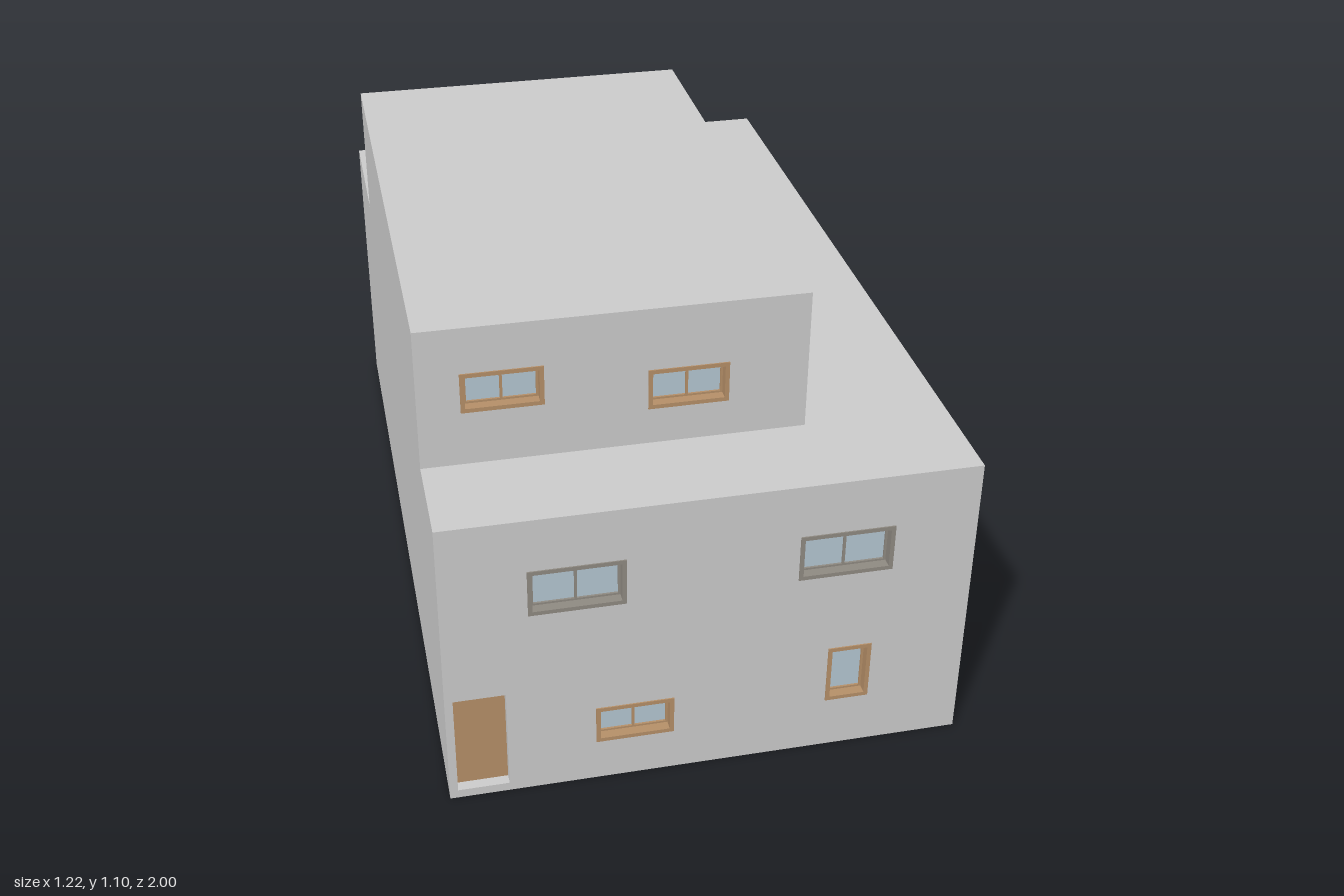
import * as THREE from 'three';

const mat = (color) => new THREE.MeshStandardMaterial({ color });
const wallMat = mat(0xcccccc);
const slabMat = mat(0xc4c4c4);
const woodMat = mat(0xb58f68);
const metalMat = mat(0x8f8a82);
const glassMat = mat(0xb4c6d2);
const T = 0.04; // wall thickness

function add(parent, name, geometry, material, x, y, z) {
  const mesh = new THREE.Mesh(geometry, material);
  mesh.name = name;
  mesh.position.set(x, y, z);
  parent.add(mesh);
  return mesh;
}

// Box given by its limits on each axis
function block(parent, name, material, [x0, x1], [y0, y1], [z0, z1]) {
  return add(parent, name, new THREE.BoxGeometry(x1 - x0, y1 - y0, z1 - z0), material,
    (x0 + x1) / 2, (y0 + y1) / 2, (z0 + z1) / 2);
}

function trace(path, x0, x1, y0, y1) {
  path.moveTo(x0, y0);
  path.lineTo(x1, y0);
  path.lineTo(x1, y1);
  path.lineTo(x0, y1);
  path.closePath();
  return path;
}

// Rectangular panel with rectangular holes, its front at z
function panel(parent, name, material, outer, holes, z, depth) {
  const shape = trace(new THREE.Shape(), ...outer);
  holes.forEach((h) => shape.holes.push(trace(new THREE.Path(), ...h)));
  const geometry = new THREE.ExtrudeGeometry(shape, { depth, bevelEnabled: false });
  return add(parent, name, geometry, material, 0, 0, z - depth);
}

const inset = ([x0, x1, y0, y1], d) => [x0 + d, x1 - d, y0 + d, y1 - d];

// Outer frame, recessed sash with one or two lights, and glass
function makeWindow(parent, rect, material, z, panes) {
  const g = new THREE.Group();
  g.name = 'window';
  parent.add(g);
  const opening = inset(rect, 0.01);
  panel(g, 'windowFrame', material, rect, [opening], z + 0.003, T);
  const [x0, x1, y0, y1] = inset(opening, 0.005);
  const mid = (x0 + x1) / 2;
  const lights = panes === 2
    ? [[x0, mid - 0.003, y0, y1], [mid + 0.003, x1, y0, y1]]
    : [[x0, x1, y0, y1]];
  panel(g, 'windowSash', material, opening, lights, z - 0.02, 0.015);
  block(g, 'windowGlass', glassMat, [x0, x1], [y0, y1], [z - 0.03, z - 0.025]);
}

// One floor: four walls, with windows and an optional door in the front
function makeStorey(parent, name, [x0, x1], [y0, y1], [z0, z1], windows, door) {
  const g = new THREE.Group();
  g.name = name;
  parent.add(g);
  const holes = windows.map((w) => w.rect);
  if (door) holes.push(door);
  panel(g, 'frontWall', wallMat, [x0, x1, y0, y1], holes, z1, T);
  block(g, 'backWall', wallMat, [x0, x1], [y0, y1], [z0, z0 + T]);
  block(g, 'rightWall', wallMat, [x0, x0 + T], [y0, y1], [z0 + T, z1 - T]);
  block(g, 'leftWall', wallMat, [x1 - T, x1], [y0, y1], [z0 + T, z1 - T]);
  windows.forEach((w) => makeWindow(g, w.rect, w.material, z1, w.panes));
  if (door) {
    block(g, 'door', woodMat, [door[0], door[1]], [door[2], door[3]], [z1 - T, z1 - 0.025]);
  }
}

export function createModel() {
  const house = new THREE.Group();
  house.name = 'house';
  const X = [-0.612, 0.612], Z = [-1, 0.997];
  const upperX = [-0.612, 0.27], upperZ = [-0.6, 0.757];

  // Floor and roof slabs, flush with the walls
  block(house, 'groundSlab', slabMat, X, [0, 0.02], Z);
  block(house, 'floorSlab', slabMat, X, [0.393, 0.413], Z);
  block(house, 'terraceSlab', slabMat, X, [0.738, 0.758], Z);
  block(house, 'roofSlab', slabMat, upperX, [1.083, 1.103], upperZ);

  makeStorey(house, 'groundStorey', X, [0.02, 0.393], Z, [
    { rect: [-0.268, -0.085, 0.111, 0.211], material: woodMat, panes: 2 },
    { rect: [0.28, 0.384, 0.138, 0.293], material: woodMat, panes: 1 },
  ], [-0.593, -0.473, 0.022, 0.288]);

  makeStorey(house, 'middleStorey', X, [0.413, 0.738], Z, [-0.307, 0.307].map((x) => (
    { rect: [x - 0.11, x + 0.11, 0.505, 0.624], material: metalMat, panes: 2 })));

  makeStorey(house, 'topStorey', upperX, [0.758, 1.083], upperZ, [
    { rect: [-0.516, -0.331, 0.892, 0.99], material: woodMat, panes: 2 },
    { rect: [-0.098, 0.087, 0.849, 0.949], material: woodMat, panes: 2 },
  ]);

  return house;
}
